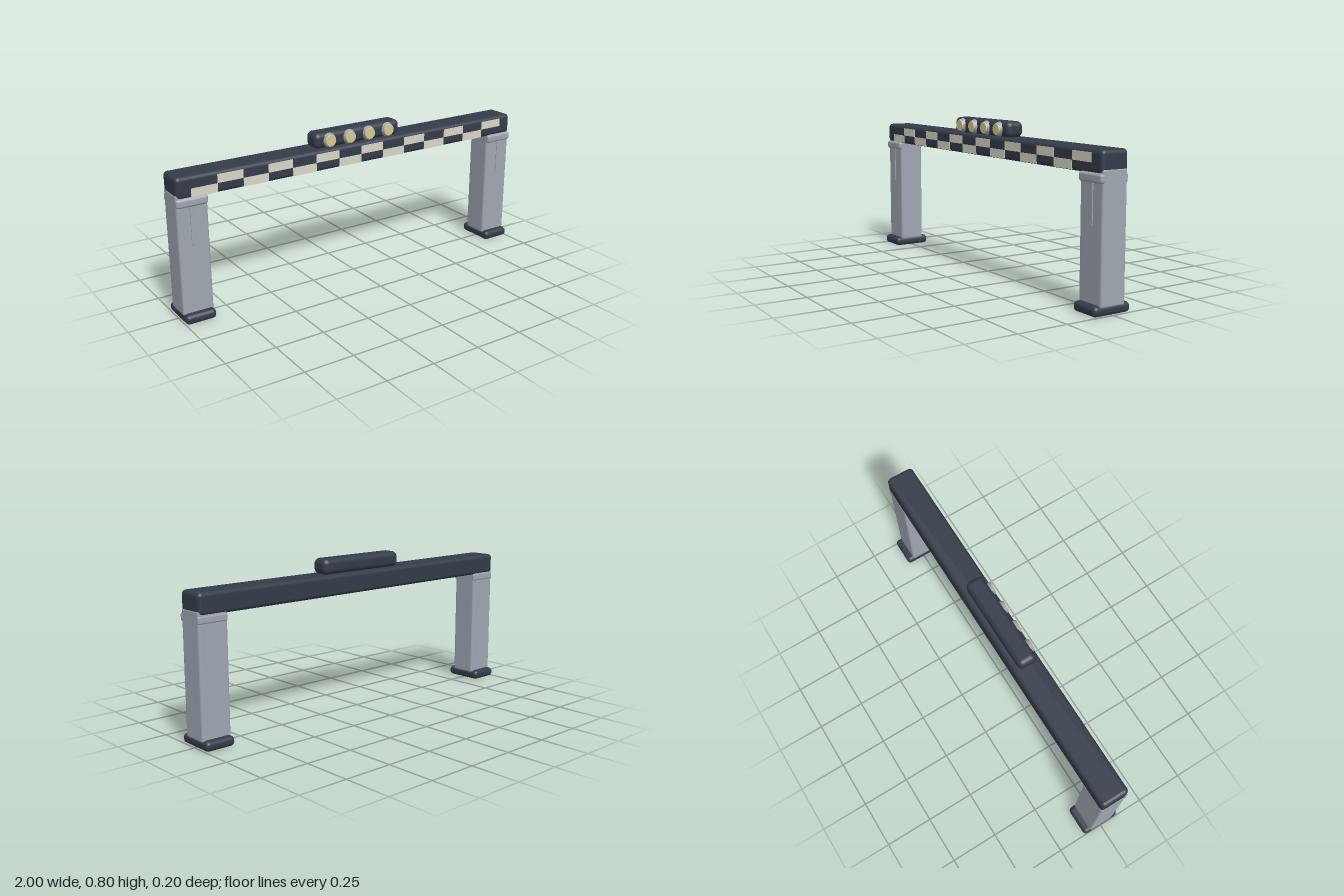
import * as THREE from 'three';
import { RoundedBoxGeometry } from 'three/addons/geometries/RoundedBoxGeometry.js';

const mat = (name, color) => {
  const m = new THREE.MeshStandardMaterial({ color });
  m.name = name;
  return m;
};

export function createModel() {
  const dark = mat('dark slate', 0x343c49);
  const grey = mat('leg grey', 0x9fa7b1);
  const cream = mat('checker cream', 0xd8d6c6);
  const yellow = mat('lamp yellow', 0xd6c88c);

  const model = new THREE.Group();
  model.name = 'archGate';

  const add = (parent, name, geometry, material, x, y, z) => {
    const mesh = new THREE.Mesh(geometry, material);
    mesh.name = name;
    mesh.position.set(x, y, z);
    parent.add(mesh);
    return mesh;
  };
  const rounded = (w, h, d, r) => new RoundedBoxGeometry(w, h, d, 4, r);

  // Crossbeam
  add(model, 'beam', rounded(1.996, 0.106, 0.146, 0.02), dark, 0, 0.667, 0);

  // Two legs with foot, clamp bars and a front strip
  for (const side of [-1, 1]) {
    const leg = new THREE.Group();
    leg.name = side > 0 ? 'leftLeg' : 'rightLeg';
    leg.position.x = side * 0.922;
    model.add(leg);
    add(leg, 'post', rounded(0.156, 0.605, 0.136, 0.012), grey, 0, 0.3375, 0);
    add(leg, 'foot', rounded(0.156, 0.048, 0.204, 0.02), dark, 0, 0.024, 0);
    add(leg, 'frontClamp', rounded(0.158, 0.044, 0.03, 0.013), grey, 0, 0.597, 0.065);
    add(leg, 'backClamp', rounded(0.158, 0.04, 0.022, 0.01), grey, 0, 0.597, -0.06);
    add(leg, 'frontStrip', rounded(0.018, 0.2, 0.008, 0.003), grey, side * 0.004, 0.485, 0.068);
  }

  // Two-row checker band on the front of the beam
  const cell = 1.85 / 14;
  const plate = new THREE.BoxGeometry(cell, 0.0425, 0.004);
  for (let i = 0; i < 14; i++) {
    const y = i % 2 ? 0.6835 : 0.6405;
    add(model, 'checkerPlate', plate, cream, -0.925 + (i + 0.5) * cell, y, 0.0725);
  }

  // Lamp bar on top with four round lamps
  const bar = new THREE.Group();
  bar.name = 'lampBar';
  model.add(bar);
  add(bar, 'lampHousing', rounded(0.508, 0.08, 0.098, 0.028), dark, 0, 0.757, 0.001);
  const rim = new THREE.CylinderGeometry(0.031, 0.037, 0.018, 24).rotateX(Math.PI / 2);
  const lens = new THREE.CylinderGeometry(0.028, 0.031, 0.008, 24).rotateX(Math.PI / 2);
  for (let i = 0; i < 4; i++) {
    const x = -0.174 + i * 0.116;
    add(bar, 'lampRim', rim, grey, x, 0.757, 0.053);
    add(bar, 'lampLens', lens, yellow, x, 0.757, 0.0635);
  }
  return model;
}
